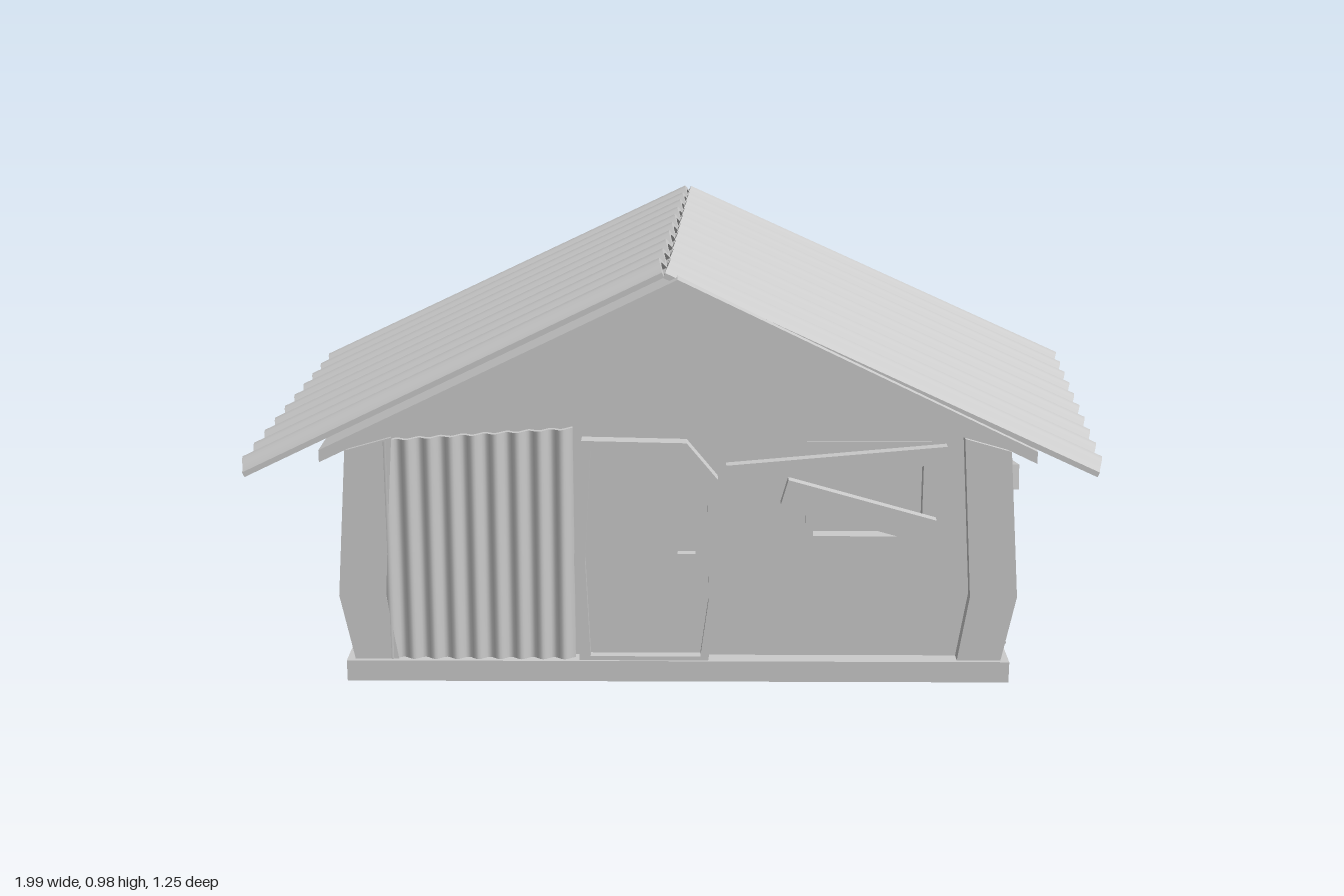
import * as THREE from 'three';

const grey = new THREE.MeshStandardMaterial({ color: 0xcccccc });
const V = (x, y, z) => new THREE.Vector3(x, y, z);

function add(parent, name, geometry, x = 0, y = 0, z = 0) {
  const mesh = new THREE.Mesh(geometry, grey);
  mesh.name = name;
  mesh.position.set(x, y, z);
  parent.add(mesh);
  return mesh;
}

const outline = (pts) => new THREE.Shape(pts.map(([x, y]) => new THREE.Vector2(x, y)));
const rect = (x0, y0, x1, y1) => [[x0, y0], [x1, y0], [x1, y1], [x0, y1]];

function extrude(pts, depth, holes = []) {
  const shape = outline(pts);
  for (const h of holes) shape.holes.push(outline(h));
  return new THREE.ExtrudeGeometry(shape, { depth, bevelEnabled: false });
}

// Corrugated sheet between four corners; the waves run along the a -> b edge
function corrugated(a, b, c, d, waves, amp, thick) {
  const geo = new THREE.BoxGeometry(1, 1, 1, waves * 8, 1, 1);
  const normal = b.clone().sub(a).cross(d.clone().sub(a)).normalize();
  const pos = geo.attributes.position;
  for (let i = 0; i < pos.count; i++) {
    const u = pos.getX(i) + 0.5, v = pos.getY(i) + 0.5;
    const p = a.clone().lerp(b, u).lerp(d.clone().lerp(c, u), v);
    const wave = -Math.cos(u * waves * Math.PI * 2) * amp;
    p.addScaledVector(normal, wave + pos.getZ(i) * thick);
    pos.setXYZ(i, p.x, p.y, p.z);
  }
  geo.computeVertexNormals();
  return geo;
}

// Wall facing +z with its front on z = 0, window openings and their frames
function wall(name, pts, windows) {
  const group = new THREE.Group();
  group.name = name;
  add(group, 'wallPanel', extrude(pts, 0.08, windows.map((w) => rect(...w))), 0, 0, -0.08);
  for (const [x0, y0, x1, y1] of windows) {
    const t = 0.017;
    add(group, 'windowFrame', extrude(rect(x0, y0, x1, y1), 0.03,
      [rect(x0 + t, y0 + t, x1 - t, y1 - t)]), 0, 0, -0.025);
  }
  return group;
}

// Plank nailed across a wall from one point to another
function plank(parent, x0, y0, x1, y1, width, z) {
  const len = Math.hypot(x1 - x0, y1 - y0);
  const m = add(parent, 'plank', new THREE.BoxGeometry(len, width, 0.025), (x0 + x1) / 2, (y0 + y1) / 2, z);
  m.rotation.z = Math.atan2(y1 - y0, x1 - x0);
}

export function createModel() {
  const model = new THREE.Group();
  model.name = 'cabin';
  const house = new THREE.Group();
  house.name = 'house';
  house.rotation.y = 0.075;
  model.add(house);

  // Floor slab and the solid interior behind the windows
  add(house, 'floor', new THREE.BoxGeometry(1.52, 0.05, 1.12), 0, 0.03, 0);
  add(house, 'interior', new THREE.BoxGeometry(1.32, 0.49, 0.88), 0, 0.3, 0);

  // Gable walls
  const gable = [[-0.72, 0.05], [0.72, 0.05], [0.72, 0.555], [0, 0.91], [-0.72, 0.555]];
  const front = wall('frontWall', gable, [[0.29, 0.33, 0.57, 0.57]]);
  front.position.z = 0.52;
  const back = wall('backWall', gable, []);
  back.position.z = -0.52;
  back.rotation.y = Math.PI;

  // Side walls
  const side = rect(-0.52, 0.05, 0.52, 0.55);
  const right = wall('leftSideWall', side, [[-0.315, 0.28, -0.155, 0.49], [0.085, 0.265, 0.41, 0.44]]);
  right.position.x = 0.73;
  right.rotation.y = Math.PI / 2;
  const left = wall('rightSideWall', side, [[-0.44, 0.24, -0.06, 0.46], [0.12, 0.28, 0.34, 0.49]]);
  left.position.x = -0.73;
  left.rotation.y = -Math.PI / 2;
  house.add(front, back, right, left);

  // Bowed corner posts
  const postPts = [[0.64, 0.05], [0.74, 0.05], [0.772, 0.21], [0.745, 0.555], [0.64, 0.585], [0.665, 0.21]];
  for (const sx of [-1, 1]) {
    const pts = postPts.map(([x, y]) => [x * sx, y]);
    for (const z of [0.475, -0.55]) add(house, 'cornerPost', extrude(pts, 0.075), 0, 0, z);
  }

  // Door with a crooked frame, leaf and handle
  const doorPts = [[-0.225, 0.055], [0.07, 0.055], [0.093, 0.2], [0.09, 0.49], [0.02, 0.575], [-0.215, 0.58], [-0.235, 0.3]];
  const inner = [[-0.2, 0.065], [0.052, 0.065], [0.07, 0.2], [0.067, 0.48], [0.01, 0.553], [-0.195, 0.556], [-0.21, 0.3]];
  add(front, 'doorFrame', extrude(doorPts, 0.035, [inner]));
  add(front, 'doorLeaf', extrude(inner, 0.012));
  add(front, 'doorHandle', new THREE.BoxGeometry(0.04, 0.015, 0.02), 0.02, 0.305, 0.02);

  // Corrugated patches on the walls
  add(front, 'frontSiding', corrugated(V(-0.68, 0.055, 0.018), V(-0.235, 0.055, 0.018),
    V(-0.235, 0.605, 0.018), V(-0.68, 0.575, 0.018), 9, 0.007, 0.012));
  add(right, 'sideSiding', corrugated(V(0.1, 0.055, 0.022), V(0.1, 0.28, 0.022),
    V(-0.475, 0.295, 0.022), V(-0.475, 0.055, 0.022), 9, 0.007, 0.012));
  add(back, 'backSiding', corrugated(V(0.17, 0.06, 0.018), V(0.17, 0.55, 0.018),
    V(-0.65, 0.52, 0.018), V(-0.65, 0.06, 0.018), 10, 0.008, 0.012));

  // Planks across the windows
  plank(front, 0.11, 0.51, 0.6, 0.555, 0.04, 0.045);
  plank(front, 0.24, 0.46, 0.575, 0.365, 0.06, 0.02);
  plank(right, -0.44, 0.462, 0.155, 0.348, 0.058, 0.04);

  // Roof deck and gable trim
  const chevron = (w, top, bottom, slope) => [[-w, top - slope * w], [0, top], [w, top - slope * w],
    [w, bottom - slope * w], [0, bottom], [-w, bottom - slope * w]];
  add(house, 'roofDeck', extrude(chevron(0.8, 0.948, 0.92, 0.485), 1.13), 0, 0, -0.565);
  for (const z of [0.51, -0.54]) add(house, 'gableTrim', extrude(chevron(0.74, 0.925, 0.895, 0.485), 0.03), 0, 0, z);

  // Corrugated roof sheets, slightly askew
  add(model, 'leftRoofSheet', corrugated(V(0.985, 0.512, 0.475), V(0.98, 0.512, -0.622),
    V(-0.02, 0.965, -0.568), V(0.015, 0.962, 0.535), 10, 0.012, 0.012));
  add(model, 'rightRoofSheet', corrugated(V(-0.992, 0.507, -0.458), V(-0.937, 0.507, 0.617),
    V(0.005, 0.968, 0.56), V(-0.02, 0.968, -0.555), 10, 0.012, 0.012));
  return model;
}
